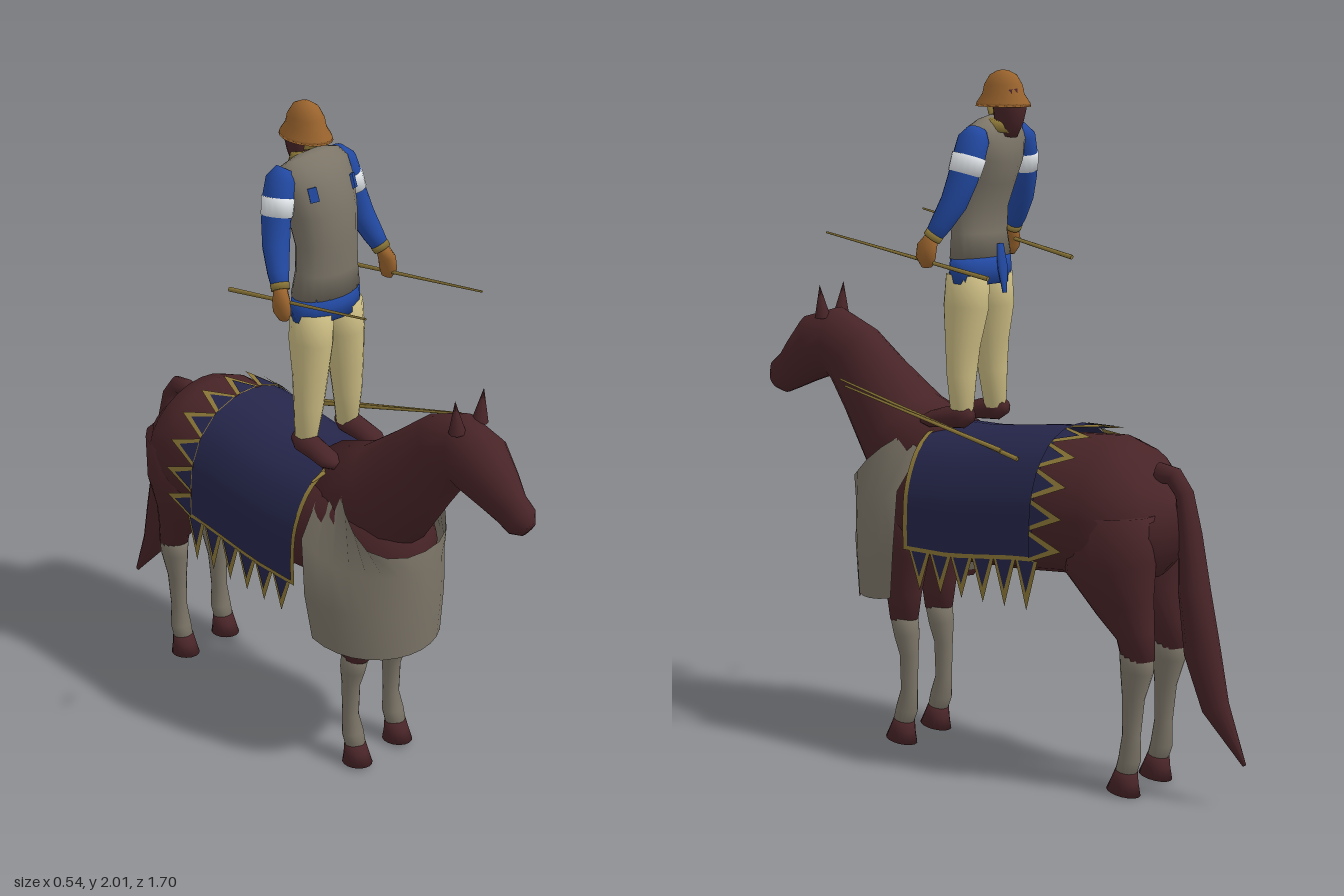
import * as THREE from 'three';

const mat = (name, color, double) => {
  const m = new THREE.MeshStandardMaterial({ color });
  m.name = name;
  if (double) m.side = THREE.DoubleSide;
  return m;
};
const V = (x, y, z) => new THREE.Vector3(x, y, z);

function indexed(verts, idx) {
  const g = new THREE.BufferGeometry();
  g.setAttribute('position', new THREE.Float32BufferAttribute(verts.flatMap(v => [v.x, v.y, v.z]), 3));
  g.setIndex(idx);
  g.computeVertexNormals();
  return g;
}

// Closed tube through elliptical sections [x, y, z, halfWidth, halfDepth]
function loft(sections, n = 16) {
  const c = sections.map(s => V(s[0], s[1], s[2]));
  const verts = [], idx = [], last = c.length - 1;
  sections.forEach((s, i) => {
    const T = c[Math.min(i + 1, last)].clone().sub(c[Math.max(i - 1, 0)]).normalize();
    const S = V(1, 0, 0).addScaledVector(T, -T.x).normalize();
    const B = T.clone().cross(S);
    for (let j = 0; j < n; j++) {
      const t = j / n * Math.PI * 2;
      verts.push(c[i].clone().addScaledVector(S, s[3] * Math.cos(t)).addScaledVector(B, s[4] * Math.sin(t)));
    }
  });
  for (let i = 0; i < last; i++) for (let j = 0; j < n; j++) {
    const a = i * n + j, b = i * n + (j + 1) % n;
    idx.push(a, b, a + n, b, b + n, a + n);
  }
  const s0 = verts.push(c[0]) - 1, s1 = verts.push(c[last]) - 1;
  for (let j = 0; j < n; j++) {
    const k = (j + 1) % n;
    idx.push(s0, k, j, s1, last * n + j, last * n + k);
  }
  return indexed(verts, idx);
}

// Open sheet through rows of points
function sheet(rows) {
  const n = rows[0].length, idx = [];
  for (let i = 0; i < rows.length - 1; i++) for (let j = 0; j < n - 1; j++) {
    const a = i * n + j;
    idx.push(a, a + n, a + 1, a + 1, a + n, a + n + 1);
  }
  return indexed(rows.flat(), idx);
}

export function createModel() {
  const brown = mat('horseBrown', 0x482427), grey = mat('clothGrey', 0x7b7467, true);
  const navy = mat('blanketNavy', 0x25264a, true), gold = mat('trimGold', 0x8c7738, true);
  const blue = mat('sleeveBlue', 0x2249a2), cream = mat('trouserCream', 0xcabb82);
  const tan = mat('helmetTan', 0x99632d), white = mat('bandWhite', 0xe4e8ec);

  const root = new THREE.Group(), model = new THREE.Group();
  model.position.x = 0.02;
  root.add(model);
  const add = (name, geo, m) => {
    const mesh = new THREE.Mesh(geo, m);
    mesh.name = name;
    model.add(mesh);
    return mesh;
  };

  // Horse body, neck, head and tail
  add('horseBody', loft([
    [0, .84, -.605, .03, .05], [0, .82, -.58, .12, .13], [0, .795, -.52, .185, .185], [0, .79, -.42, .212, .21],
    [0, .79, -.28, .21, .2], [0, .765, -.1, .2, .19], [0, .765, .05, .2, .195], [0, .775, .2, .185, .2],
    [0, .75, .32, .165, .19], [0, .73, .41, .11, .13], [0, .73, .445, .03, .04]], 24), brown);
  add('horseNeckAndHead', loft([
    [0, .84, .2, .15, .18], [0, .93, .34, .135, .155], [0, 1.055, .45, .095, .125], [0, 1.14, .53, .078, .11],
    [0, 1.175, .6, .078, .105], [0, 1.155, .665, .082, .1], [0, 1.105, .73, .062, .078],
    [0, 1.068, .78, .043, .062], [0, 1.045, .82, .042, .055], [0, 1.03, .845, .022, .028]], 18), brown);
  add('tail', loft([
    [0, .91, -.55, .025, .03], [0, .905, -.6, .026, .028], [0, .86, -.635, .028, .025], [0, .75, -.655, .036, .032],
    [0, .6, -.67, .045, .045], [0, .42, -.7, .042, .055], [0, .27, -.745, .032, .042], [0, .12, -.84, .003, .006]], 12), brown);

  for (const s of [-1, 1]) {
    const x = s * .085;
    const ear = add('horseEar', new THREE.ConeGeometry(.024, .1, 8), brown);
    ear.position.set(s * .05, 1.3, .615);
    ear.rotation.z = -s * .12;
    // Front leg, stocking and hoof
    add('frontThigh', loft([[s * .1, .74, .27, .07, .11], [x, .58, .275, .06, .08], [x, .46, .28, .045, .058],
      [x, .375, .28, .037, .045]]), brown);
    add('frontStocking', loft([[x, .39, .28, .038, .045], [x, .33, .27, .036, .04], [x, .27, .262, .026, .03],
      [x, .16, .262, .024, .026], [x, .1, .272, .032, .034], [x, .05, .288, .03, .03]]), grey);
    add('frontHoof', loft([[x, .065, .282, .033, .032], [x, .035, .288, .036, .04], [x, 0, .293, .04, .052]]), brown);
    // Hind leg, stocking and hoof
    add('hindThigh', loft([[s * .1, .8, -.45, .1, .15], [s * .1, .65, -.46, .095, .14], [x, .54, -.5, .07, .09],
      [x, .46, -.535, .045, .058], [x, .39, -.545, .037, .05]]), brown);
    add('hindStocking', loft([[x, .42, -.54, .039, .053], [x, .36, -.54, .037, .05], [x, .28, -.53, .027, .034],
      [x, .17, -.525, .024, .027], [x, .1, -.52, .033, .032], [x, .05, -.505, .03, .03]]), grey);
    add('hindHoof', loft([[x, .065, -.51, .033, .032], [x, .035, -.505, .036, .04], [x, 0, -.5, .04, .052]]), brown);
  }

  // Chest cover with a brown hem
  const arcRow = (y, yBack, w, zBack, zFront) => Array.from({ length: 17 }, (_, i) => {
    const u = (i - 8) / 8, a = u * Math.PI / 2;
    return V(w * Math.sin(a), y + (yBack - y) * u ** 4, zBack + (zFront - zBack) * Math.cos(a));
  });
  const topEdge = new THREE.CatmullRomCurve3([V(0, .79, .47), V(.09, .795, .455), V(.155, .82, .4),
    V(.165, .885, .33), V(.125, .945, .25), V(.07, .99, .16)]);
  const topRow = Array.from({ length: 17 }, (_, i) => {
    const p = topEdge.getPointAt(Math.abs(i - 8) / 8);
    return V(Math.sign(i - 8) * p.x, p.y, p.z);
  });
  const hemRow = arcRow(.45, .475, .213, .23, .465);
  add('chestCover', sheet([hemRow, arcRow(.6, .62, .225, .21, .475), arcRow(.73, .8, .222, .195, .476), topRow]), grey);
  add('chestCoverHem', sheet([arcRow(.428, .455, .211, .24, .462), hemRow]), brown);

  // Blanket draped over the back
  const drape = new THREE.CatmullRomCurve3([V(0, .982, 0), V(.08, .968, 0), V(.16, .92, 0), V(.214, .82, 0),
    V(.225, .73, 0), V(.225, .635, 0)]);
  const onBlanket = (u, z, off = 0) => {
    const p = drape.getPointAt(Math.min(1, Math.abs(u)));
    const k = 1 + off / .22;
    return V(Math.sign(u) * p.x * k, .75 + (p.y - .75) * k + Math.min(.03, Math.max(0, -z * .12)), z);
  };
  const band = (z0, z1, u0, u1, off, nz = 6, nu = 30) => sheet(Array.from({ length: nz + 1 }, (_, i) =>
    Array.from({ length: nu + 1 }, (_, j) => onBlanket(u0 + (u1 - u0) * j / nu, z0 + (z1 - z0) * i / nz, off))));
  add('blanket', band(.165, -.28, -1, 1, 0), navy);
  add('blanketFrontTrim', band(.17, .155, -1, 1, .003, 1), gold);
  for (const s of [-1, 1]) add('blanketSideTrim', band(.17, -.28, s * .975, s, .003, 6, 1), gold);

  // Pointed fringe: gold points with navy centres
  const point = (a, b, tip) => {
    add('fringePoint', indexed([a, b, tip], [0, 1, 2]), gold);
    const c = a.clone().add(b).multiplyScalar(.5);
    const out = V(c.x, c.y - .75, 0).normalize().multiplyScalar(.003);
    for (const d of [1, -1]) {
      const pts = [a, b, tip].map((p, i) => p.clone().lerp(c, i < 2 ? .28 : .36).addScaledVector(out, d));
      add('fringeCentre', indexed(pts, [0, 1, 2]), navy);
    }
  };
  const rear = 11;
  for (let i = 0; i < rear; i++) {
    const u = j => -1 + 2 * j / rear;
    point(onBlanket(u(i), -.275, .006), onBlanket(u(i + 1), -.275, .006), onBlanket(u(i + .5), -.385, .008));
  }
  for (const s of [-1, 1]) for (let i = 0; i < 6; i++) {
    const z = .15 - i * .075;
    point(onBlanket(s, z), onBlanket(s, z - .075), onBlanket(s, z - .0375).setY(.52));
  }

  // Rider: torso, collar and chest marks
  add('tunicSkirt', loft([[0, 1.4, .06, .117, .07], [0, 1.44, .058, .118, .07], [0, 1.475, .058, .114, .068]]), blue);
  add('tunic', loft([[0, 1.47, .058, .116, .069], [0, 1.54, .062, .102, .067], [0, 1.62, .06, .098, .072],
    [0, 1.7, .045, .106, .084], [0, 1.77, .022, .118, .083], [0, 1.82, .005, .122, .065], [0, 1.845, -.008, .1, .045],
    [0, 1.855, -.015, .05, .035]], 20), grey);
  add('collar', loft([[0, 1.835, -.012, .062, .052], [0, 1.862, -.018, .045, .042]]), gold);
  add('tunicFlap', loft([[0, 1.51, -.01, .012, .01], [0, 1.44, -.02, .022, .01], [0, 1.37, -.027, .008, .005]], 8), blue);

  // Head and brimmed helmet
  add('head', loft([[0, 1.82, -.03, .032, .035], [0, 1.86, -.04, .037, .045], [0, 1.89, -.045, .041, .05],
    [0, 1.94, -.035, .042, .05]]), brown);
  add('neckGuard', loft([[0, 1.875, .005, .034, .008], [0, 1.915, .012, .036, .01]], 8), gold);
  const helmet = add('helmet', new THREE.LatheGeometry([[.034, .02], [.062, 0], [.06, .01], [.047, .035], [.043, .06], [.03, .088],
    [.012, .1], [0, .102]].map(p => new THREE.Vector2(...p)), 20), tan);
  helmet.position.set(0, 1.898, -.022);
  helmet.scale.z = 1.4;

  for (const s of [-1, 1]) {
    const mark = add('chestMark', new THREE.BoxGeometry(.025, .04, .008), blue);
    mark.position.set(s * .075, 1.78, .088);
    mark.rotation.set(-.35, s * .6, 0);
    // Legs and boots
    add('riderLeg', loft([[s * .056, 1.42, .062, .058, .066], [s * .062, 1.33, .064, .056, .07], [s * .07, 1.22, .07, .05, .052],
      [s * .076, 1.13, .07, .043, .044], [s * .082, 1.02, .065, .032, .033]]), cream);
    add('boot', loft([[s * .085, 1.02, .03, .022, .022], [s * .086, 1.015, .06, .036, .036], [s * .088, 1.005, .12, .034, .03],
      [s * .09, .995, .17, .034, .024], [s * .09, .99, .2, .016, .012]], 12), brown);
    // Arms with white bands, cuffs and hands
    add('sleeve', loft([[s * .095, 1.835, 0, .025, .03], [s * .112, 1.81, 0, .038, .048], [s * .13, 1.755, .005, .038, .05],
      [s * .145, 1.7, .014, .036, .046], [s * .162, 1.635, .032, .036, .04], [s * .182, 1.575, .062, .029, .032],
      [s * .193, 1.54, .082, .023, .025]]), blue);
    add('armBand', loft([[s * .127, 1.765, .004, .041, .053], [s * .14, 1.715, .012, .039, .05]]), white);
    add('cuff', loft([[s * .19, 1.55, .076, .026, .028], [s * .195, 1.535, .085, .025, .027]]), gold);
    add('hand', loft([[s * .194, 1.54, .084, .018, .02], [s * .203, 1.51, .096, .02, .032], [s * .204, 1.48, .1, .02, .032],
      [s * .198, 1.455, .1, .012, .018]], 10), tan);
  }

  // Javelins: two in the hands, two stowed beside the saddle
  const javelin = (name, a, b) => {
    const p = V(...a), q = V(...b), d = q.clone().sub(p);
    const rod = add(name, new THREE.CylinderGeometry(.003, .007, d.length(), 7), gold);
    rod.position.copy(p).add(q).multiplyScalar(.5);
    rod.quaternion.setFromUnitVectors(V(0, 1, 0), d.normalize());
  };
  javelin('leftJavelin', [.195, 1.435, -.11], [.205, 1.53, .46]);
  javelin('rightJavelin', [-.19, 1.46, -.13], [-.2, 1.57, .42]);
  javelin('stowedJavelin', [.18, .935, -.2], [.235, 1.11, .39]);
  javelin('stowedJavelin', [.19, .955, -.15], [.25, 1.095, .36]);
  javelin('looseTip', [-.235, 1.068, .3], [-.285, 1.06, .305]);

  return root;
}
